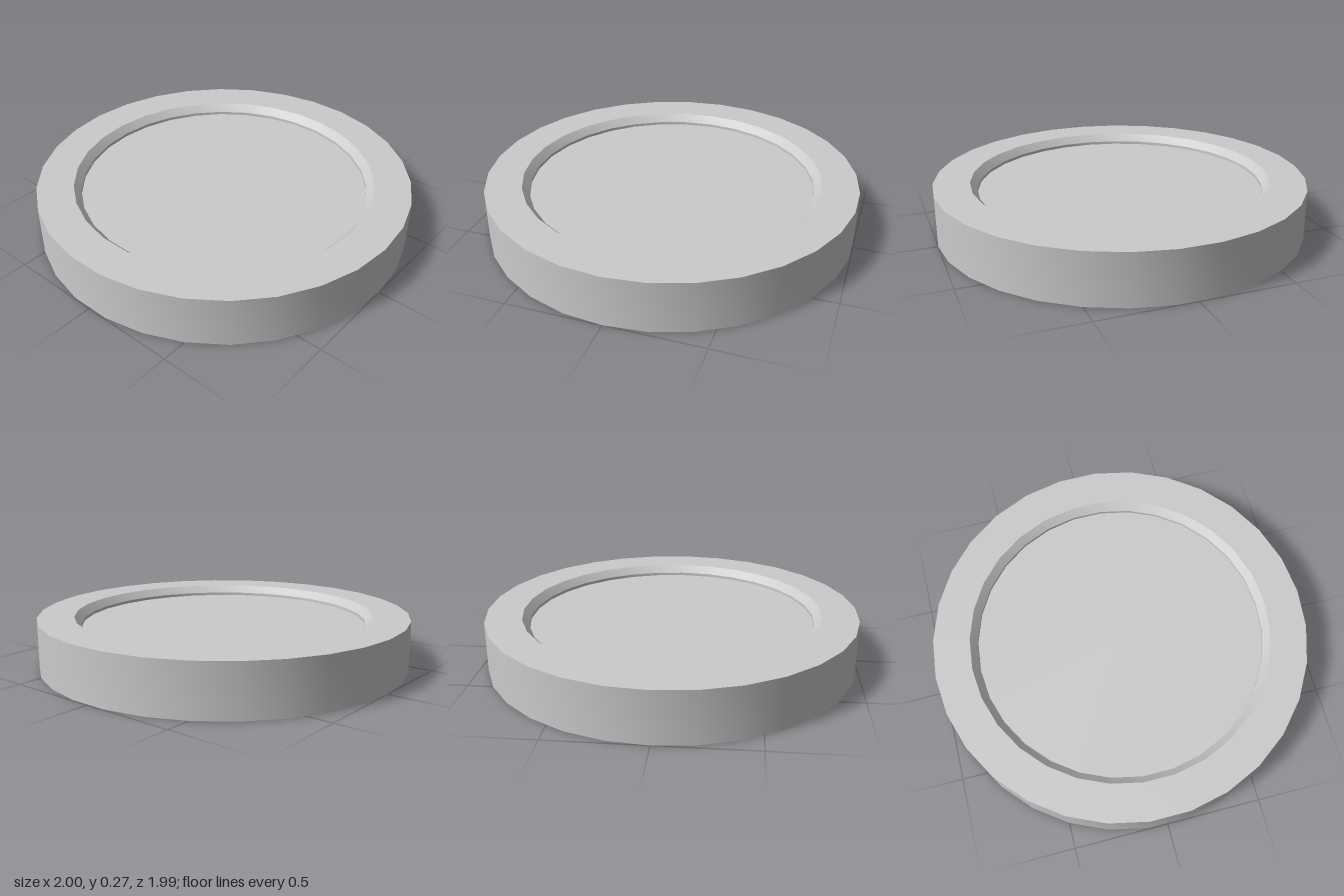
import * as THREE from 'three';
import { toCreasedNormals } from 'three/addons/utils/BufferGeometryUtils.js';

const SIDES = 30;
const HEIGHT = 0.27;
const OUTER = 1;
const MOUTH = 0.805; // opening at the faces of the rim
const INNER = 0.768; // opening past the bevel
const BEVEL = 0.04; // depth of the bevel
const RECESS = 0.056; // depth of the panel below each face

export function createModel() {
  const group = new THREE.Group();
  const material = new THREE.MeshStandardMaterial({ color: 0xcccccc });

  // Rim: closed ring section, bevelled at both inner edges
  const section = [
    [INNER, BEVEL], [MOUTH, 0], [OUTER, 0], [OUTER, HEIGHT],
    [MOUTH, HEIGHT], [INNER, HEIGHT - BEVEL], [INNER, BEVEL],
  ].map(([r, y]) => new THREE.Vector2(r, y));
  const rim = new THREE.Mesh(
    toCreasedNormals(new THREE.LatheGeometry(section, SIDES, Math.PI / 2), 0.5),
    material,
  );
  rim.name = 'rim';

  // Panel: flat disc recessed from both faces, its edge let into the rim
  const panel = new THREE.Mesh(
    new THREE.CylinderGeometry(INNER + 0.01, INNER + 0.01, HEIGHT - 2 * RECESS, SIDES, 1, false, Math.PI / 2),
    material,
  );
  panel.position.y = HEIGHT / 2;
  panel.name = 'panel';

  group.add(rim, panel);
  return group;
}
